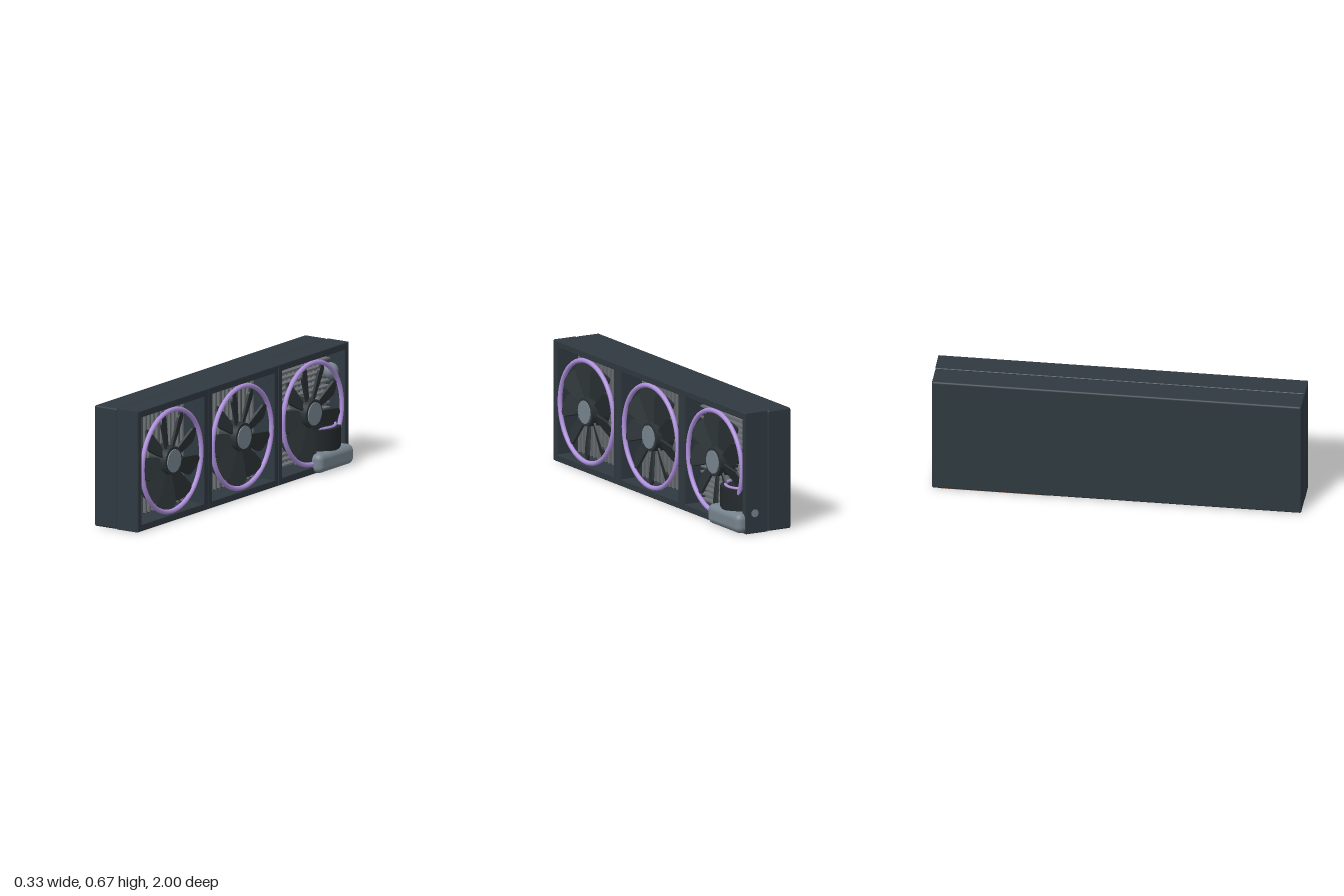
import * as THREE from 'three';
import { RoundedBoxGeometry } from 'three/addons/geometries/RoundedBoxGeometry.js';

const paint = (name, color, side = THREE.FrontSide) => {
  const m = new THREE.MeshStandardMaterial({ color, side });
  m.name = name;
  return m;
};

export function createModel() {
  const body = paint('charcoal', 0x2f3940);
  const blade = paint('blade black', 0x2b3235);
  const dark = paint('pump black', 0x23292d);
  const silver = paint('cool grey', 0x76838d);
  const finGrey = paint('fin grey', 0x6a6f73);
  const purple = paint('purple', 0xaf90dd);
  const copper = paint('copper', 0xa8683c);

  const root = new THREE.Group();
  root.name = 'radiatorWithFans';
  const add = (parent, name, geometry, material, x = 0, y = 0, z = 0) => {
    const mesh = new THREE.Mesh(geometry, material);
    mesh.name = name;
    mesh.position.set(x, y, z);
    parent.add(mesh);
    return mesh;
  };

  const H = 0.665, PITCH = 2 / 3, MID = H / 2;

  // Radiator body
  add(root, 'radiatorBody', new RoundedBoxGeometry(0.145, H, 2, 2, 0.01), body, -0.0935, MID, 0);

  // Square fan frame, axis along local z
  const half = PITCH / 2 - 0.003, inner = 0.293, bevel = 0.003;
  const square = (path, a) => path.moveTo(-a, -a).lineTo(a, -a).lineTo(a, a).lineTo(-a, a).closePath();
  const frameShape = square(new THREE.Shape(), half - bevel);
  frameShape.holes.push(square(new THREE.Path(), inner + bevel));
  const frameGeo = new THREE.ExtrudeGeometry(frameShape, {
    depth: 0.132, bevelSize: bevel, bevelThickness: bevel, bevelSegments: 1,
  });
  frameGeo.translate(0, 0, -0.0175);
  frameGeo.scale(1.009, 1.006, 1);

  // Paddle-shaped blade, narrow at the hub and rounded at the tip
  const bladeShape = new THREE.Shape();
  bladeShape.moveTo(-0.022, 0.06);
  bladeShape.quadraticCurveTo(-0.05, 0.15, -0.07, 0.225);
  bladeShape.quadraticCurveTo(-0.066, 0.258, -0.03, 0.268);
  bladeShape.quadraticCurveTo(0.02, 0.276, 0.05, 0.26);
  bladeShape.quadraticCurveTo(0.062, 0.18, 0.022, 0.06);
  const bladeGeo = new THREE.ExtrudeGeometry(bladeShape, { depth: 0.012, bevelEnabled: false, curveSegments: 5 });
  bladeGeo.translate(0, 0, -0.006);
  bladeGeo.rotateY(0.42);

  const ringGeo = new THREE.TorusGeometry(0.279, 0.013, 10, 64);
  const hubGeo = new THREE.CylinderGeometry(0.078, 0.082, 0.11, 32).rotateX(Math.PI / 2);
  const capGeo = new THREE.CylinderGeometry(0.063, 0.063, 0.02, 32).rotateX(Math.PI / 2);
  const BLADES = 9;

  for (let f = -1; f <= 1; f++) {
    const fan = new THREE.Group();
    fan.name = 'fan';
    fan.position.set(0, MID, f * PITCH);
    fan.rotation.y = Math.PI / 2;
    root.add(fan);
    add(fan, 'fanFrame', frameGeo, body);
    add(fan, 'fanRing', ringGeo, purple, 0, 0, 0.109);
    add(fan, 'fanHub', hubGeo, blade, 0, 0, 0.067);
    add(fan, 'hubCap', capGeo, silver, 0, 0, 0.118);
    for (let i = 0; i < BLADES; i++) {
      const b = add(fan, 'fanBlade', bladeGeo, blade, 0, 0, 0.085);
      b.rotation.z = (i / BLADES) * Math.PI * 2 + 0.2;
    }
    // Upright cooling fins behind the fan
    for (let i = -7; i <= 7; i++) {
      add(fan, 'coolingFin', new THREE.BoxGeometry(0.014, 0.58, 0.018), finGrey, i * 0.039, 0, -0.014);
    }
  }

  // Stacked horizontal fins behind the rear fan
  for (let i = 0; i < 19; i++) {
    add(root, 'stackedFin', new THREE.BoxGeometry(0.035, 0.01, 0.58), finGrey, 0.008, 0.06 + i * 0.03, -PITCH);
  }

  // Pump with base, barrel, trim ring and hose fittings
  const pump = new THREE.Group();
  pump.name = 'pump';
  pump.position.set(0, 0, -0.83);
  root.add(pump);
  add(pump, 'pumpBase', new RoundedBoxGeometry(0.329, 0.109, 0.329, 4, 0.035), silver, 0, 0.0565, 0);
  add(pump, 'pumpBarrel', new THREE.CylinderGeometry(0.15, 0.15, 0.125, 40), dark, 0, 0.1625, 0);
  add(pump, 'pumpRing', new THREE.TorusGeometry(0.122, 0.008, 8, 48).rotateX(Math.PI / 2), purple, 0, 0.229, 0);
  add(pump, 'hoseFitting', new THREE.SphereGeometry(0.045, 20, 14), silver, 0.045, 0.51, -0.1);
  add(pump, 'sideFitting', new THREE.CylinderGeometry(0.022, 0.022, 0.006, 20).rotateX(Math.PI / 2),
    silver, 0.06, 0.11, -0.168);

  // Copper contact plate on the underside
  add(root, 'contactPlate', new THREE.BoxGeometry(0.15, 0.004, 0.59), copper, -0.085, 0.001, -0.655);

  return root;
}
